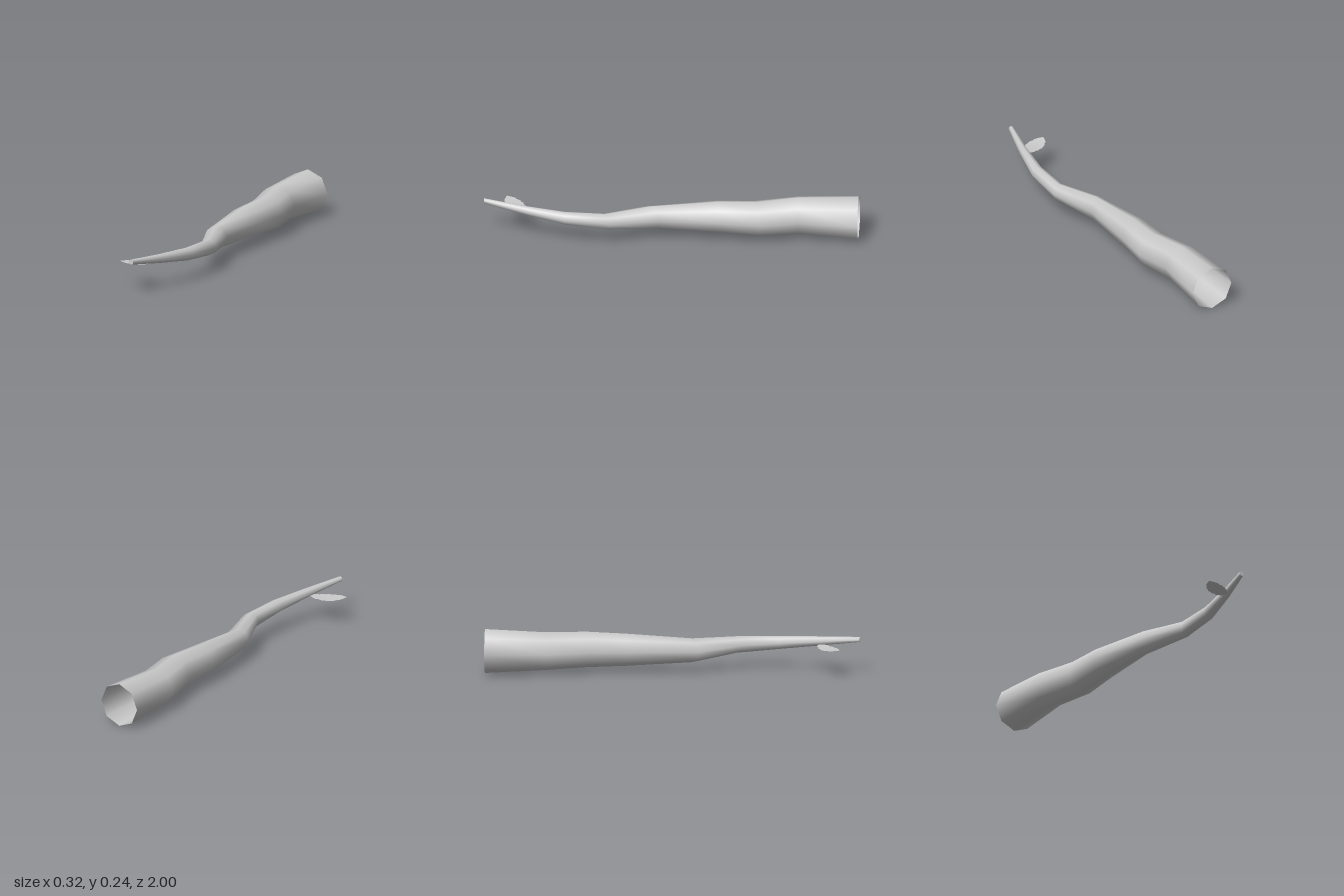
import * as THREE from 'three';

const material = () => new THREE.MeshStandardMaterial({ color: 0xcccccc, side: THREE.DoubleSide });

// Skin a list of equal-length point rows into a smooth sheet (closed = tube)
function skin(rows, closed) {
  const n = rows[0].length, index = [];
  for (let i = 0; i < rows.length - 1; i++) {
    for (let j = 0; j < (closed ? n : n - 1); j++) {
      const k = (j + 1) % n, a = i * n, b = a + n;
      index.push(a + j, a + k, b + k, a + j, b + k, b + j);
    }
  }
  const geometry = new THREE.BufferGeometry();
  geometry.setAttribute('position', new THREE.Float32BufferAttribute(rows.flat(2), 3));
  geometry.setIndex(index);
  geometry.computeVertexNormals();
  return geometry;
}

export function createModel() {
  const group = new THREE.Group();
  const add = (name, geometry) => {
    const mesh = new THREE.Mesh(geometry, material());
    mesh.name = name;
    group.add(mesh);
    return mesh;
  };

  // Crooked tapering branch: x, y, z, radius, yaw of each octagonal ring
  const rings = [
    [-0.043, 0.12, -1, 0.12, 0],
    [-0.043, 0.122, -0.675, 0.103, 0.06],
    [0.008, 0.122, -0.46, 0.097, 0.2],
    [0.003, 0.123, -0.25, 0.088, 0.25],
    [0.025, 0.118, 0.105, 0.065, 0.73],
    [0.117, 0.132, 0.342, 0.045, 0.5],
    [0.116, 0.145, 0.563, 0.036, 0.07],
    [0.074, 0.164, 0.785, 0.025, 0.12],
    [0.021, 0.185, 1, 0.014, 0],
  ];
  add('branch', skin(rings.map(([x, y, z, r, yaw]) =>
    Array.from({ length: 8 }, (_, j) => {
      const a = j * Math.PI / 4, u = Math.cos(a) * r;
      return [x + u * Math.cos(yaw), y + Math.sin(a) * r, z - u * Math.sin(yaw)];
    })), true));

  // Closed tip; the thick end stays open
  const [tx, ty, tz, tr] = rings[rings.length - 1];
  add('branchTip', new THREE.CircleGeometry(tr, 8)).position.set(tx, ty, tz);

  // Thin leaf with lobed edges, sagging slightly along its length
  const halfWidths = [0.004, 0.024, 0.036, 0.034, 0.046, 0.043, 0.05, 0.045, 0.046, 0.036, 0.034, 0.02, 0.003];
  const leafRows = halfWidths.map((w, i) => {
    const t = i / (halfWidths.length - 1);
    return [-1, 0, 1].map(s => [
      0.06 - 0.17 * t + s * w * 0.525,
      0.141 + 0.008 * (2 * t - 1) ** 2,
      0.785 + 0.1 * t + s * w * 0.85,
    ]);
  });
  add('leaf', skin(leafRows, false));

  return group;
}
